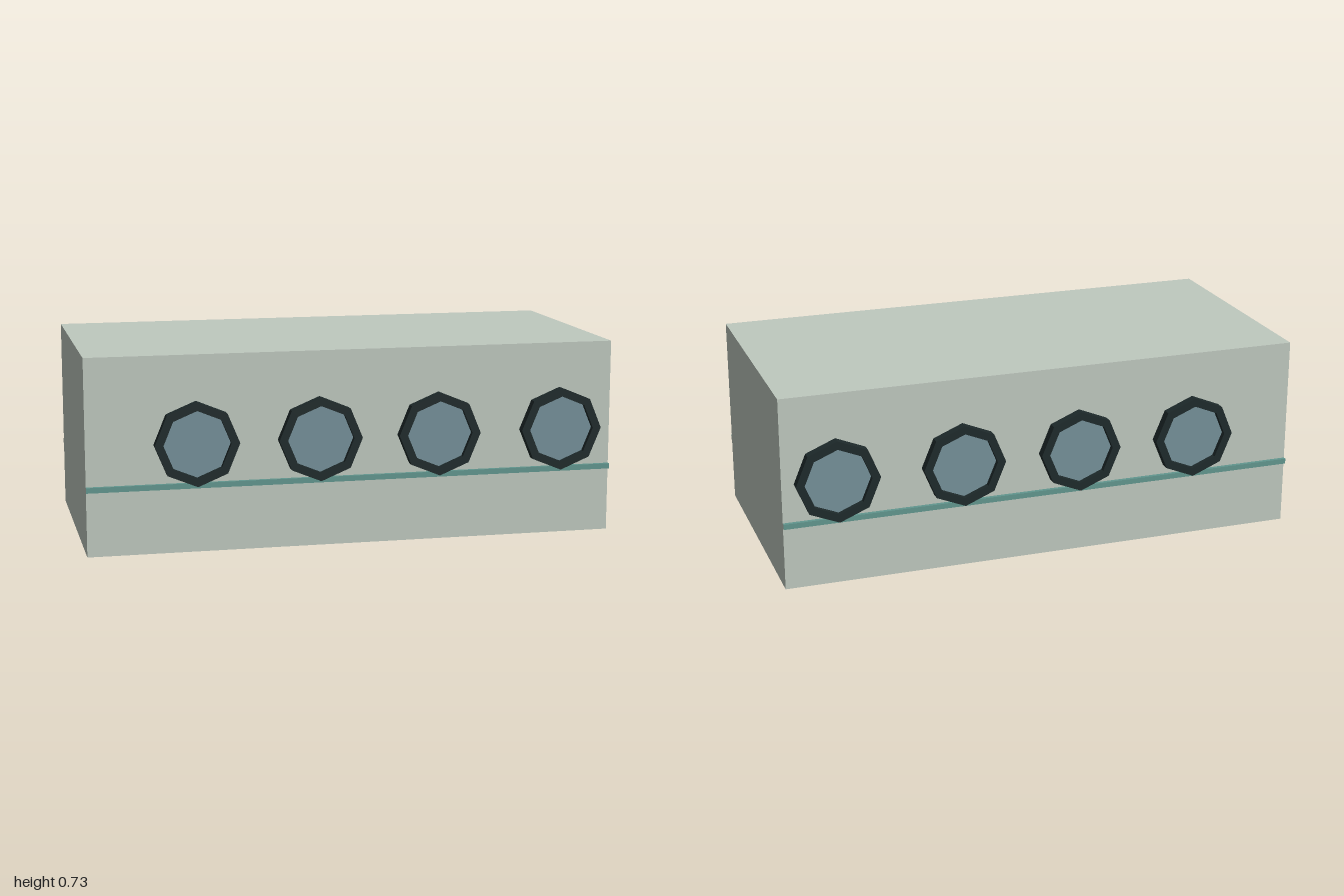
import * as THREE from 'three';

const material = (name, color) => {
  const m = new THREE.MeshStandardMaterial({ color });
  m.name = name;
  return m;
};

// Regular octagon with a corner pointing straight up
const octagon = (radius) => Array.from({ length: 8 }, (_, i) => {
  const a = (i * Math.PI) / 4;
  return new THREE.Vector2(radius * Math.cos(a), radius * Math.sin(a));
});

export function createModel() {
  const shell = material('paleGreyGreen', 0xbfc9bf);
  const teal = material('teal', 0x62978f);
  const rim = material('darkRim', 0x1e2a2b);
  const glass = material('blueGreyGlass', 0x75919a);

  const model = new THREE.Group();
  const add = (parent, name, geometry, mat, x, y, z) => {
    const mesh = new THREE.Mesh(geometry, mat);
    mesh.name = name;
    mesh.position.set(x, y, z);
    parent.add(mesh);
  };

  // Main block
  const halfDepth = 0.47;
  add(model, 'body', new THREE.BoxGeometry(2, 0.734, halfDepth * 2), shell, 0, 0.367, 0);

  // Shared porthole and trim geometries
  const rimShape = new THREE.Shape(octagon(0.157));
  rimShape.holes.push(new THREE.Path(octagon(0.125).reverse()));
  const rimGeometry = new THREE.ExtrudeGeometry(rimShape, { depth: 0.035, bevelEnabled: false });
  const glassGeometry = new THREE.ShapeGeometry(new THREE.Shape(octagon(0.127)));
  const trimGeometry = new THREE.BoxGeometry(2, 0.02, 0.014);
  const trimMaterials = [shell, shell, teal, teal, teal, teal]; // pale end caps

  // Portholes and trim line on both long sides, at matching x positions
  for (const side of [1, -1]) {
    const wall = new THREE.Group();
    wall.name = side > 0 ? 'frontWall' : 'backWall';
    wall.rotation.y = side > 0 ? 0 : Math.PI;
    add(wall, 'trimLine', trimGeometry, trimMaterials, 0, 0.251, halfDepth + 0.007);
    for (const x of [-0.595, -0.135, 0.32, 0.797]) {
      add(wall, 'portholeRim', rimGeometry, rim, x * side, 0.407, halfDepth);
      add(wall, 'portholeGlass', glassGeometry, glass, x * side, 0.407, halfDepth + 0.015);
    }
    model.add(wall);
  }
  return model;
}
